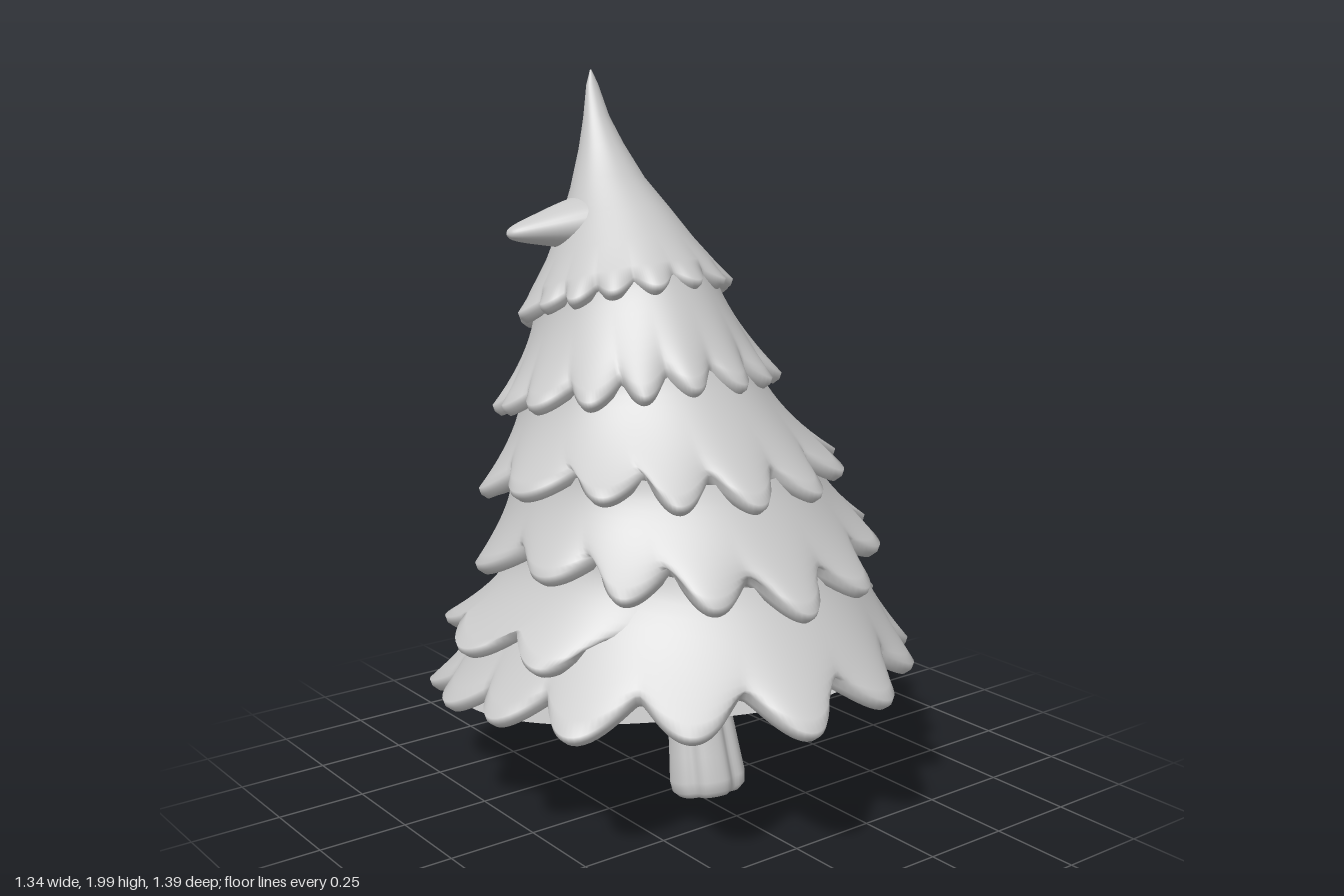
import * as THREE from 'three';

const foliage = new THREE.MeshStandardMaterial({ color: 0xc8c8c8, side: THREE.DoubleSide });
foliage.name = 'plain grey';

const SEG = 288;
const lerp = (a, b, t) => a + (b - a) * t;
const hash = (n) => { const s = Math.sin(n * 127.1 + 11.7) * 43758.5453; return s - Math.floor(s); };

// Point on a leaning ring: fz/fy front, bz/by back, xl/xr sides, sy side height
function ringPoint(r, a, scale = 1, inset = 0, lift = 0) {
  const s = Math.sin(a), c = Math.cos(a);
  const square = 1 - 0.05 * c * Math.sin(2 * a) ** 2;
  const rx = ((r.xr - r.xl) / 2 * scale - inset) * square;
  const rz = ((r.fz - r.bz) / 2 * scale - inset) * square;
  const y = r.sy + (r.fy - r.by) / 2 * c + ((r.fy + r.by) / 2 - r.sy) * c * c;
  return new THREE.Vector3((r.xl + r.xr) / 2 + rx * s, y + lift, (r.fz + r.bz) / 2 + rz * c);
}

// Closed loops of points stacked from top to bottom
function loft(rows, seg, point) {
  const pos = [], idx = [];
  for (let i = 0; i < rows; i++) {
    for (let j = 0; j < seg; j++) pos.push(...point(i, j / seg * Math.PI * 2).toArray());
  }
  for (let i = 0; i < rows - 1; i++) {
    for (let j = 0; j < seg; j++) {
      const k = (j + 1) % seg, p = i * seg, q = p + seg;
      idx.push(p + j, q + j, q + k, p + j, q + k, p + k);
    }
  }
  const g = new THREE.BufferGeometry();
  g.setAttribute('position', new THREE.Float32BufferAttribute(pos, 3));
  g.setIndex(idx);
  g.computeVertexNormals();
  return g;
}

// Leaf outline: 0 in a notch, about 1 at a tip; pointed in front, round behind
function lobe(t, a, id) {
  const w = a + 0.08 * (1 - Math.cos(a)) * Math.sin(3 * a + id);
  const ph = t.n * w / (Math.PI * 2) + t.phase;
  const k = ((Math.floor(ph) % t.n) + t.n) % t.n;
  const f = ph - Math.floor(ph);
  const sharp = 0.95 + 0.4 * Math.cos(a);
  return Math.pow(Math.abs(Math.sin(Math.PI * f)), sharp) * (0.72 + 0.36 * hash(k + id * 31));
}

// One skirt of branches, ending in a rolled lip and an underside
const SLOPE = 11;
const LIP = [[0.006, -0.018], [0.024, -0.031], [0.045, -0.024], [0.08, 0.002], [0.15, 0.04]];
function skirt(t, id, top) {
  return loft(SLOPE + 1 + LIP.length, SEG, (i, a) => {
    const amp = t.amp * (0.76 + 0.24 * Math.cos(a));
    const notch = amp * (1 - lobe(t, a, id));
    const u = Math.min(i / SLOPE, 1);
    const lip = i > SLOPE ? LIP[i - SLOPE - 1] : [0, 0];
    const k = u ** 3;
    const edge = ringPoint(t, a, 1, notch * k + lip[0], notch * 0.65 * k + lip[1] + 0.01);
    const start = top(a);
    const p = Math.pow(u, 1.15 + 0.2 * (1 - Math.cos(a)) + 0.6 * Math.sin(a) ** 2);
    return new THREE.Vector3(lerp(start.x, edge.x, p), lerp(start.y, edge.y, u), lerp(start.z, edge.z, p));
  });
}

const ring = (fz, fy, bz, by, xl, xr, sy, amp, n, phase) => ({ fz, fy, bz, by, xl, xr, sy, amp, n, phase });
const CROWN = ring(0.03, 1.44, -0.58, 1.27, -0.3, 0.335, 1.36, 0.045, 16, 0.3);
const TIERS = [
  { name: 'upperBranches', r: ring(0.19, 1.18, -0.6, 1.04, -0.4, 0.435, 1.12, 0.07, 17, 0.1), above: CROWN },
  { name: 'middleBranches', r: ring(0.415, 0.9, -0.635, 0.77, -0.49, 0.545, 0.91, 0.115, 14, 0.8) },
  { name: 'lowerBranches', r: ring(0.56, 0.65, -0.67, 0.53, -0.53, 0.625, 0.71, 0.125, 14, 0.7) },
  { name: 'sideBranches', r: ring(0.46, 0.5, -0.62, 0.46, -0.66, 0.655, 0.52, 0.12, 11, 0.45) },
  { name: 'bottomBranches', r: ring(0.71, 0.4, -0.715, 0.245, -0.69, 0.69, 0.36, 0.14, 14, 0.8565) },
];
TIERS[1].above = TIERS[0].r;
TIERS[2].above = TIERS[1].r;
TIERS[3].above = TIERS[4].above = TIERS[2].r;

// Crown: concave spire leaning back, flaring into a scalloped hem
function crownGeometry() {
  const spire = [ // front z, back z, left x, right x, y
    [-0.458, -0.462, 0.028, 0.032, 2], [-0.44, -0.466, 0.012, 0.048, 1.96],
    [-0.4, -0.468, -0.008, 0.068, 1.87], [-0.35, -0.47, -0.035, 0.095, 1.79],
    [-0.275, -0.474, -0.08, 0.135, 1.69], [-0.18, -0.488, -0.13, 0.18, 1.6],
    [-0.1, -0.512, -0.185, 0.23, 1.51], [-0.03, -0.545, -0.245, 0.285, 1.43],
  ].map(([fz, bz, xl, xr, y], i) => {
    const tilt = 0.075 * (i / 7) ** 2;
    return ring(fz, y + tilt, bz, y - tilt, xl, xr, y);
  });
  const n = spire.length;
  return loft(n + 1 + LIP.length, SEG, (i, a) => {
    if (i < n) return ringPoint(spire[i], a);
    const notch = CROWN.amp * (1 - lobe(CROWN, a, 9));
    const lip = i > n ? LIP[i - n - 1] : [0, 0];
    return ringPoint(CROWN, a, 1, notch + lip[0], notch * 0.5 + lip[1] + 0.015);
  });
}

// Trunk: lobed, flared at the foot and tilted with the tree
function trunkGeometry() {
  const rows = [ // height along the axis, radius
    [0.5, 0.08], [0.36, 0.085], [0.24, 0.09], [0.12, 0.101], [0.05, 0.108],
    [0.02, 0.104], [0.004, 0.088], [0, 0.06], [0, 0.001],
  ];
  const g = loft(rows.length, 72, (i, a) => {
    const [y, r] = rows[i];
    const groove = 1 - 0.14 * Math.pow(Math.abs(Math.cos(2.5 * (a - 0.25))), 8);
    return new THREE.Vector3(Math.sin(a) * r * groove, y, Math.cos(a) * r * groove);
  });
  g.rotateX(-0.2);
  g.translate(0.02, 0.022, 0.1);
  return g;
}

// Spur: a broad single branch sticking out beside the spire
function spurGeometry() {
  const profile = [[0.1, 0.03], [0.092, 0.07], [0.075, 0.13], [0.055, 0.19], [0.034, 0.25], [0.018, 0.28], [0.001, 0.29]];
  const curve = new THREE.SplineCurve(profile.map((p) => new THREE.Vector2(...p)));
  const g = new THREE.LatheGeometry(curve.getPoints(20), 32);
  g.rotateZ(Math.PI / 2 + 0.12);
  g.scale(1, 0.8, 1.15);
  g.rotateY(-0.17);
  g.translate(-0.015, 1.59, -0.345);
  return g;
}

export function createModel() {
  const tree = new THREE.Group();
  tree.name = 'tree';
  const add = (name, geometry) => {
    const m = new THREE.Mesh(geometry, foliage);
    m.name = name;
    tree.add(m);
  };

  add('crown', crownGeometry());
  add('spurBranch', spurGeometry());
  TIERS.forEach(({ name, r, above }, id) => {
    add(name, skirt(r, id, (a) => ringPoint(above, a, 0.8, 0, 0.06)));
  });

  // Flat underside, sloping down to the back
  const disc = ring(0.55, 0.435, -0.635, 0.235, -0.59, 0.59, 0.35);
  add('underside', loft(3, 96, (i, a) => {
    const k = [1, 0.5, 0.001][i];
    const p = ringPoint(disc, a, k);
    return p.setY(lerp(0.345, p.y, k));
  }));

  add('trunk', trunkGeometry());
  return tree;
}
